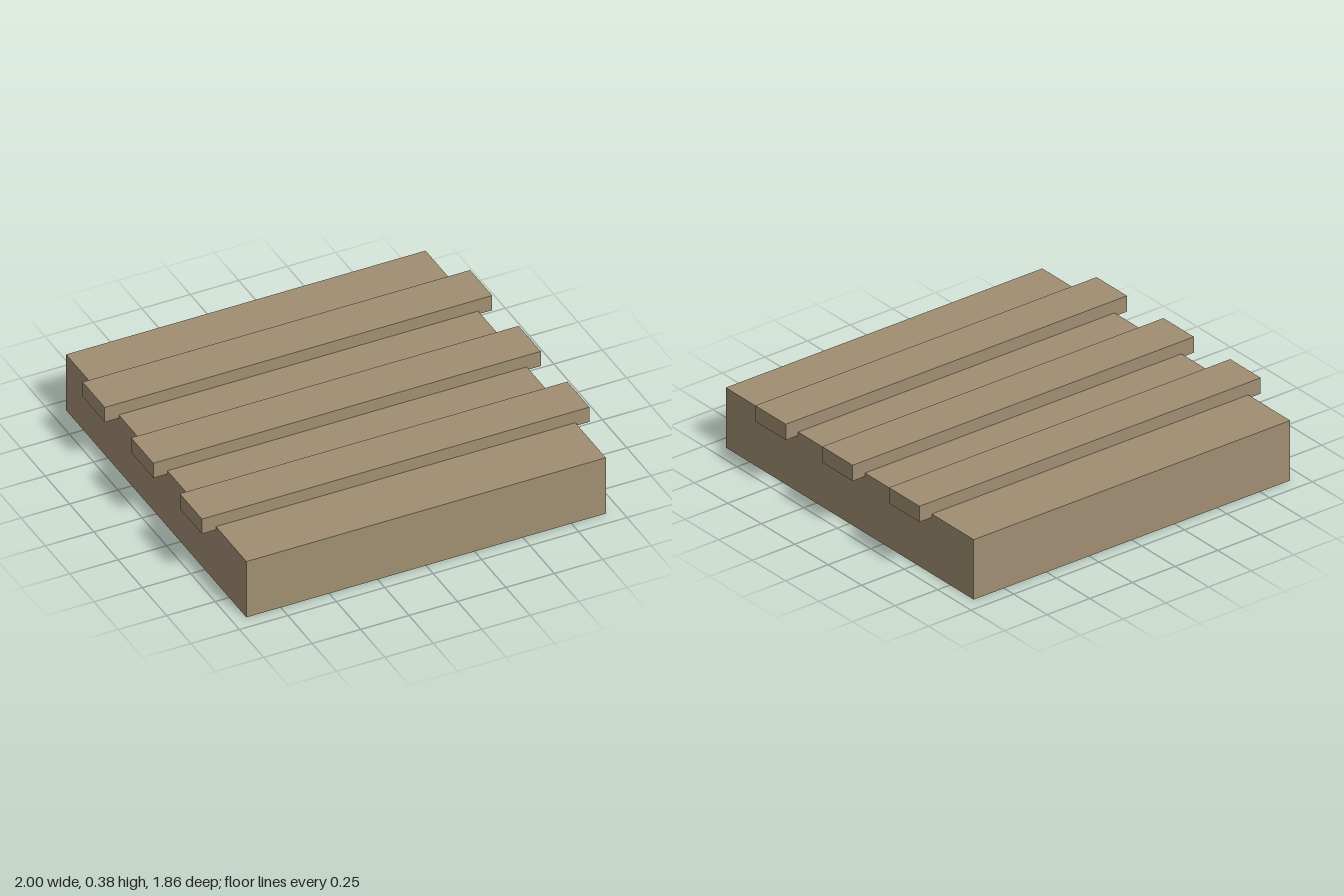
import * as THREE from 'three';

export function createModel() {
  const model = new THREE.Group();
  model.name = 'slattedPlatform';
  const wood = new THREE.MeshStandardMaterial({ color: 0xa08e72 });
  wood.name = 'tan wood';

  function addBox(name, width, bottom, top, depth, z) {
    const mesh = new THREE.Mesh(new THREE.BoxGeometry(width, top - bottom, depth), wood);
    mesh.name = name;
    mesh.position.set(0, (bottom + top) / 2, z);
    model.add(mesh);
  }

  // Solid square base
  addBox('base', 1.855, 0, 0.315, 1.855, 0);

  // Three cross slats, sunk slightly into the base and overhanging its sides
  ['backSlat', 'middleSlat', 'frontSlat'].forEach((name, i) => {
    addBox(name, 2, 0.297, 0.38, 0.228, (i - 1) * 0.5);
  });

  return model;
}
